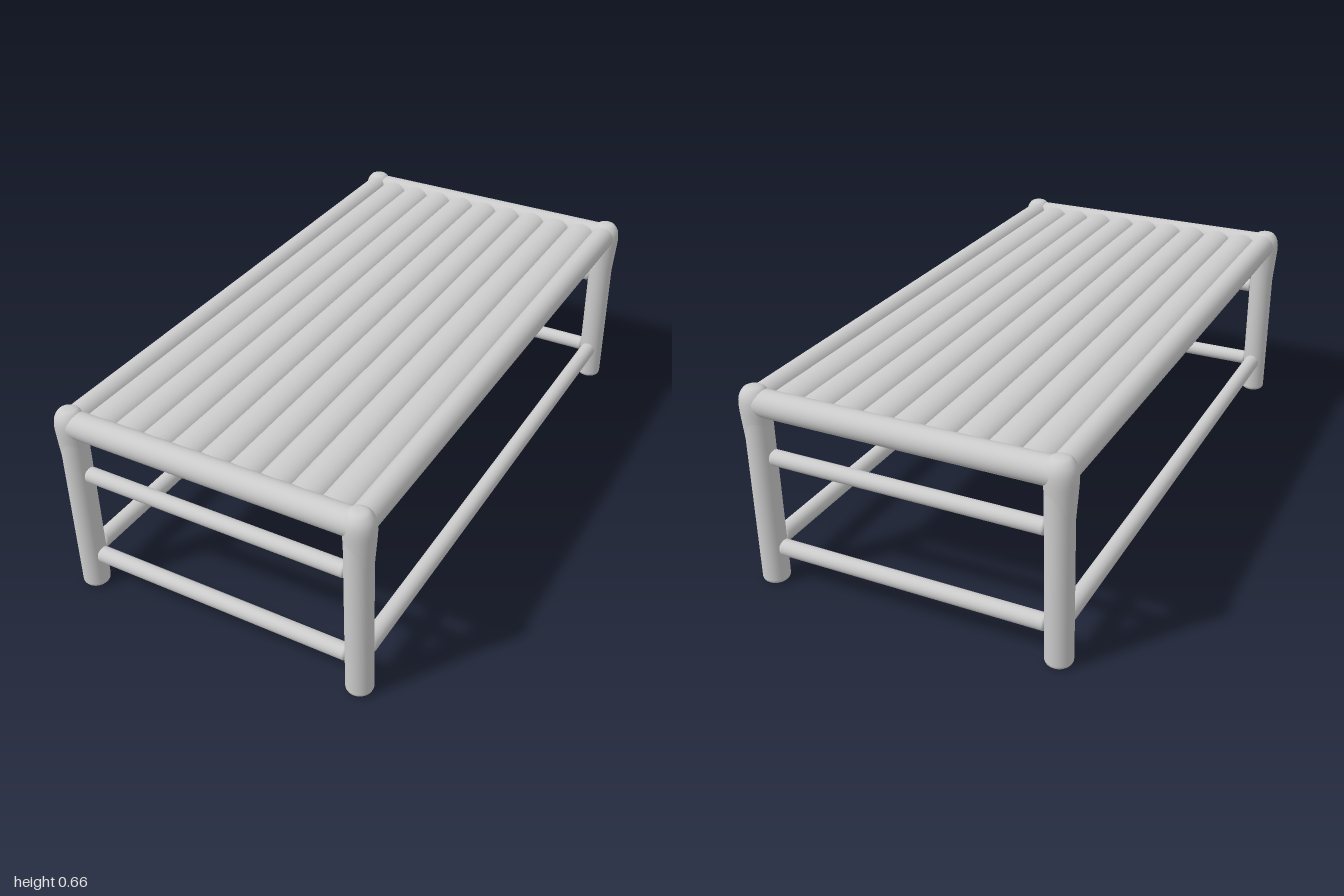
import * as THREE from 'three';

const LEG_X = 0.479, LEG_Z = 0.954, RAIL_Y = 0.612, R = 0.0425;

export function createModel() {
  const group = new THREE.Group();
  const material = new THREE.MeshStandardMaterial({ color: 0xcccccc });

  const add = (name, geometry, x, y, z) => {
    const mesh = new THREE.Mesh(geometry, material);
    mesh.name = name;
    mesh.position.set(x, y, z);
    group.add(mesh);
    return mesh;
  };

  // Upright round pole with softly rounded ends, centred on its origin
  const pole = (radius, length, round) => {
    const h = length / 2, pts = [new THREE.Vector2(0, -h)];
    for (const end of [-1, 1]) {
      for (let i = 0; i <= 5; i++) {
        const a = (end < 0 ? i : 5 - i) / 5 * Math.PI / 2;
        pts.push(new THREE.Vector2(
          radius - round + round * Math.sin(a),
          end * (h - round + round * Math.cos(a))));
      }
    }
    pts.push(new THREE.Vector2(0, h));
    return new THREE.LatheGeometry(pts, 32);
  };
  const alongX = (...args) => pole(...args).rotateZ(Math.PI / 2);
  const alongZ = (...args) => pole(...args).rotateX(Math.PI / 2);

  // Swollen corner wrap that tapers down onto the leg
  const knobProfile = new THREE.SplineCurve([
    [0.040, 0.47], [0.043, 0.51], [0.047, 0.56], [0.0495, 0.605],
    [0.045, 0.635], [0.031, 0.656], [0.015, 0.662], [0, 0.663],
  ].map(([x, y]) => new THREE.Vector2(x, y))).getPoints(28);
  knobProfile.forEach(p => { p.x = Math.max(0, p.x); });
  const knob = new THREE.LatheGeometry(knobProfile, 32).scale(1, 1, 0.92);

  for (const sx of [-1, 1]) {
    for (const sz of [-1, 1]) {
      add('leg', pole(R, 0.62, 0.016), sx * LEG_X, 0.31, sz * LEG_Z);
      add('cornerKnob', knob, sx * (LEG_X + 0.003), 0, sz * LEG_Z);
    }
    // Long sides
    add('sideRail', alongZ(R, 1.92, 0.016), sx * LEG_X, RAIL_Y, 0);
    add('sideStretcher', alongZ(0.028, 1.83, 0.01), sx * LEG_X, 0.13, 0);
  }

  // Short ends
  for (const sz of [-1, 1]) {
    add('endRail', alongX(R, 0.97, 0.016), 0, RAIL_Y, sz * LEG_Z);
    add('upperEndStretcher', alongX(0.025, 0.886, 0.01), 0, 0.437, sz * LEG_Z);
    add('lowerEndStretcher', alongX(0.026, 0.886, 0.01), 0, 0.124, sz * LEG_Z);
  }

  // Top of nine overlapping, slightly flattened poles
  const count = 9, pitch = 0.099;
  const slat = new THREE.CylinderGeometry(0.056, 0.056, 1.89, 32)
    .rotateX(Math.PI / 2).scale(1, 0.64, 1);
  for (let i = 0; i < count; i++) {
    add('slat', slat, (i - (count - 1) / 2) * pitch, RAIL_Y, 0);
  }

  return group;
}
